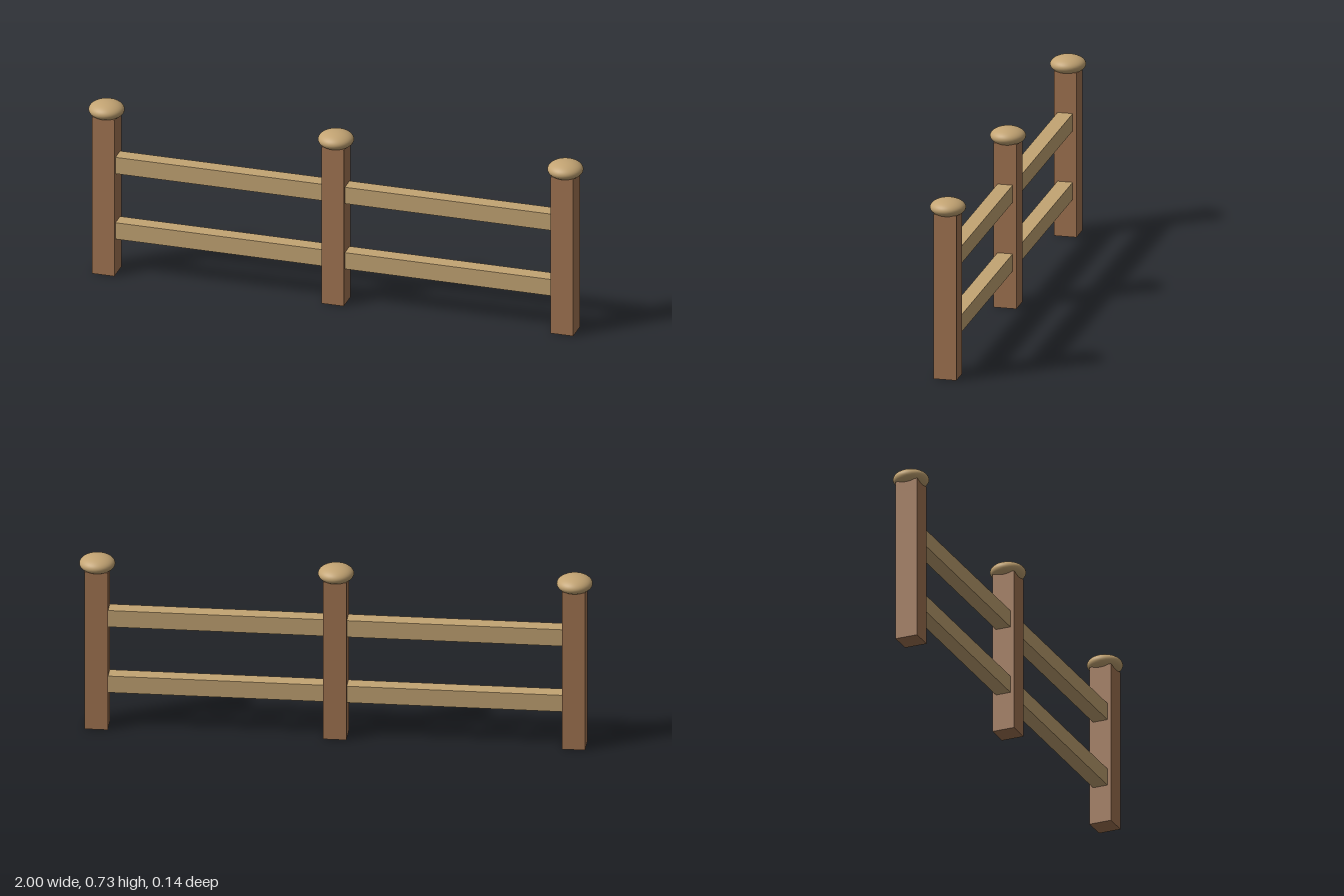
import * as THREE from 'three';

const POST_X = 0.93, POST_W = 0.091, POST_H = 0.67;
const RAIL_H = 0.07, RAIL_D = 0.061;

export function createModel() {
  const fence = new THREE.Group();
  fence.name = 'fence';

  const darkWood = new THREE.MeshStandardMaterial({ color: 0xa27552 });
  darkWood.name = 'dark wood';
  const lightWood = new THREE.MeshStandardMaterial({ color: 0xc3a473 });
  lightWood.name = 'light wood';

  const add = (name, geometry, material, x, y) => {
    const mesh = new THREE.Mesh(geometry, material);
    mesh.name = name;
    mesh.position.set(x, y, 0);
    fence.add(mesh);
  };

  // Square posts with flattened round caps
  const postGeo = new THREE.BoxGeometry(POST_W, POST_H, POST_W);
  const capGeo = new THREE.SphereGeometry(0.07, 40, 24).scale(1, 0.5, 1);
  [['right', -POST_X], ['middle', 0], ['left', POST_X]].forEach(([side, x]) => {
    add(`${side}Post`, postGeo, darkWood, x, POST_H / 2);
    add(`${side}PostCap`, capGeo, lightWood, x, 0.69);
  });

  // Two rails in each bay, spanning between the post faces
  const railGeo = new THREE.BoxGeometry(POST_X - POST_W + 0.002, RAIL_H, RAIL_D);
  [['right', -1], ['left', 1]].forEach(([side, s]) => {
    add(`${side}LowerRail`, railGeo, lightWood, s * POST_X / 2, 0.188);
    add(`${side}UpperRail`, railGeo, lightWood, s * POST_X / 2, 0.468);
  });

  return fence;
}
